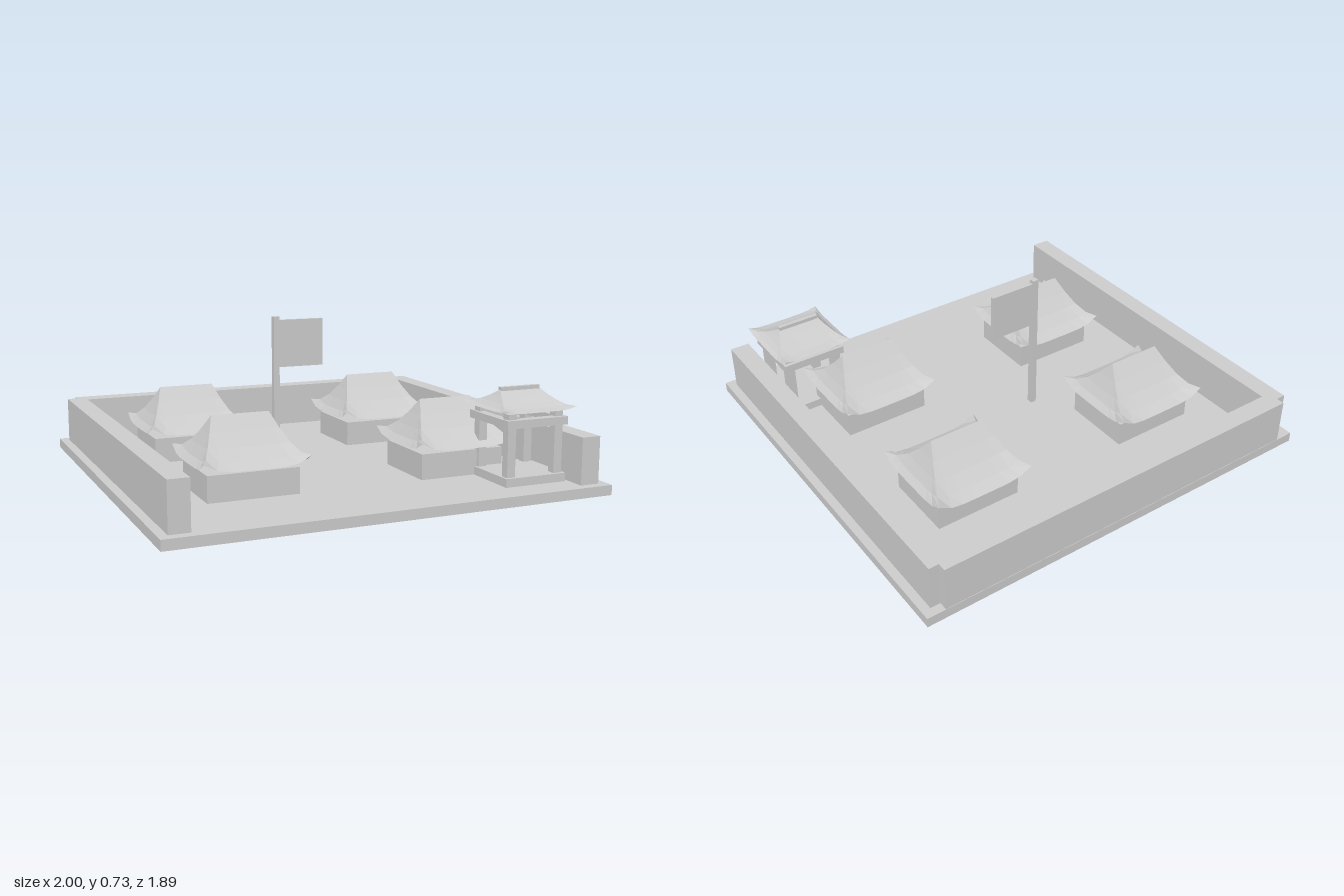
import * as THREE from 'three';

const stone = new THREE.MeshStandardMaterial({ color: 0xcccccc, flatShading: true, side: THREE.DoubleSide });
stone.name = 'pale grey';

// Box given by its min and max corners
function box(parent, name, x0, x1, y0, y1, z0, z1) {
  const mesh = new THREE.Mesh(new THREE.BoxGeometry(x1 - x0, y1 - y0, z1 - z0), stone);
  mesh.position.set((x0 + x1) / 2, (y0 + y1) / 2, (z0 + z1) / 2);
  mesh.name = name;
  parent.add(mesh);
  return mesh;
}

// Hipped roof with concave slopes and upturned corners
function hipRoof({ halfX, halfZ, ridge, eaveY, ridgeY, lift, curve }) {
  const pos = [], index = [], rows = 4, cols = 8;
  const slopes = [
    (t, s) => [s * (ridge + (halfX - ridge) * t), halfZ * t],
    (t, s) => [ridge + (halfX - ridge) * t, -s * halfZ * t],
    (t, s) => [-s * (ridge + (halfX - ridge) * t), -halfZ * t],
    (t, s) => [-ridge - (halfX - ridge) * t, s * halfZ * t],
  ];
  for (const slope of slopes) {
    const start = pos.length / 3;
    for (let i = 0; i <= rows; i++) {
      for (let j = 0; j <= cols; j++) {
        const t = i / rows, s = (j / cols) * 2 - 1;
        const [x, z] = slope(t, s);
        const y = eaveY + (ridgeY - eaveY) * (1 - t) ** curve + lift * t ** 3 * Math.abs(s) ** 5;
        pos.push(x, y, z);
        if (i < rows && j < cols) {
          const a = start + i * (cols + 1) + j, b = a + cols + 1;
          index.push(a, b, b + 1, a, b + 1, a + 1);
        }
      }
    }
  }
  const geo = new THREE.BufferGeometry();
  geo.setAttribute('position', new THREE.Float32BufferAttribute(pos, 3));
  geo.setIndex(index);
  geo.computeVertexNormals();
  const mesh = new THREE.Mesh(geo, stone);
  mesh.name = 'roof';
  return mesh;
}

function house(x, z) {
  const g = new THREE.Group();
  g.name = 'house';
  box(g, 'houseBody', -0.203, 0.203, 0.045, 0.16, -0.165, 0.165);
  g.add(hipRoof({ halfX: 0.233, halfZ: 0.222, ridge: 0.128, eaveY: 0.18, ridgeY: 0.374, lift: 0.04, curve: 1.4 }));
  g.position.set(x, 0, z);
  return g;
}

function watchtower(x, z) {
  const g = new THREE.Group();
  g.name = 'watchtower';
  box(g, 'towerFloor', -0.15, 0.15, 0.045, 0.083, -0.15, 0.15);
  for (const s of [-1, 1]) {
    for (const t of [-1, 1]) {
      const px = s * 0.118, pz = t * 0.115;
      box(g, 'post', px - 0.02, px + 0.02, 0.045, 0.357, pz - 0.02, pz + 0.02);
    }
    // Rails joining the posts
    box(g, 'frontRail', -0.152, 0.152, 0.298, 0.334, s * 0.133 - 0.02, s * 0.133 + 0.02);
    box(g, 'sideRail', s * 0.132 - 0.02, s * 0.132 + 0.02, 0.299, 0.333, -0.15, 0.15);
  }
  g.add(hipRoof({ halfX: 0.178, halfZ: 0.178, ridge: 0.097, eaveY: 0.366, ridgeY: 0.444, lift: 0.014, curve: 1.5 }));
  box(g, 'ridgeCap', -0.098, 0.098, 0.436, 0.454, -0.011, 0.011);
  g.position.set(x, 0, z);
  return g;
}

export function createModel() {
  const model = new THREE.Group();
  model.name = 'walledCamp';

  // Ground slab and three walls
  box(model, 'ground', -1, 1, 0, 0.045, -0.945, 0.945);
  box(model, 'backWall', -0.914, 0.914, 0.045, 0.255, -0.943, -0.852);
  for (const s of [-1, 1]) {
    box(model, 'sideWall', s * 0.915 - 0.045, s * 0.915 + 0.045, 0.045, 0.255, -0.904, 0.902);
  }

  // Four houses
  for (const x of [-0.491, 0.491]) for (const z of [-0.385, 0.385]) model.add(house(x, z));

  model.add(watchtower(0.703, 0.66));

  // Banner on its pole
  box(model, 'flagPole', -0.176, -0.148, 0.045, 0.725, -0.057, -0.029);
  box(model, 'flag', -0.15, 0.07, 0.49, 0.709, -0.052, -0.034);
  return model;
}
